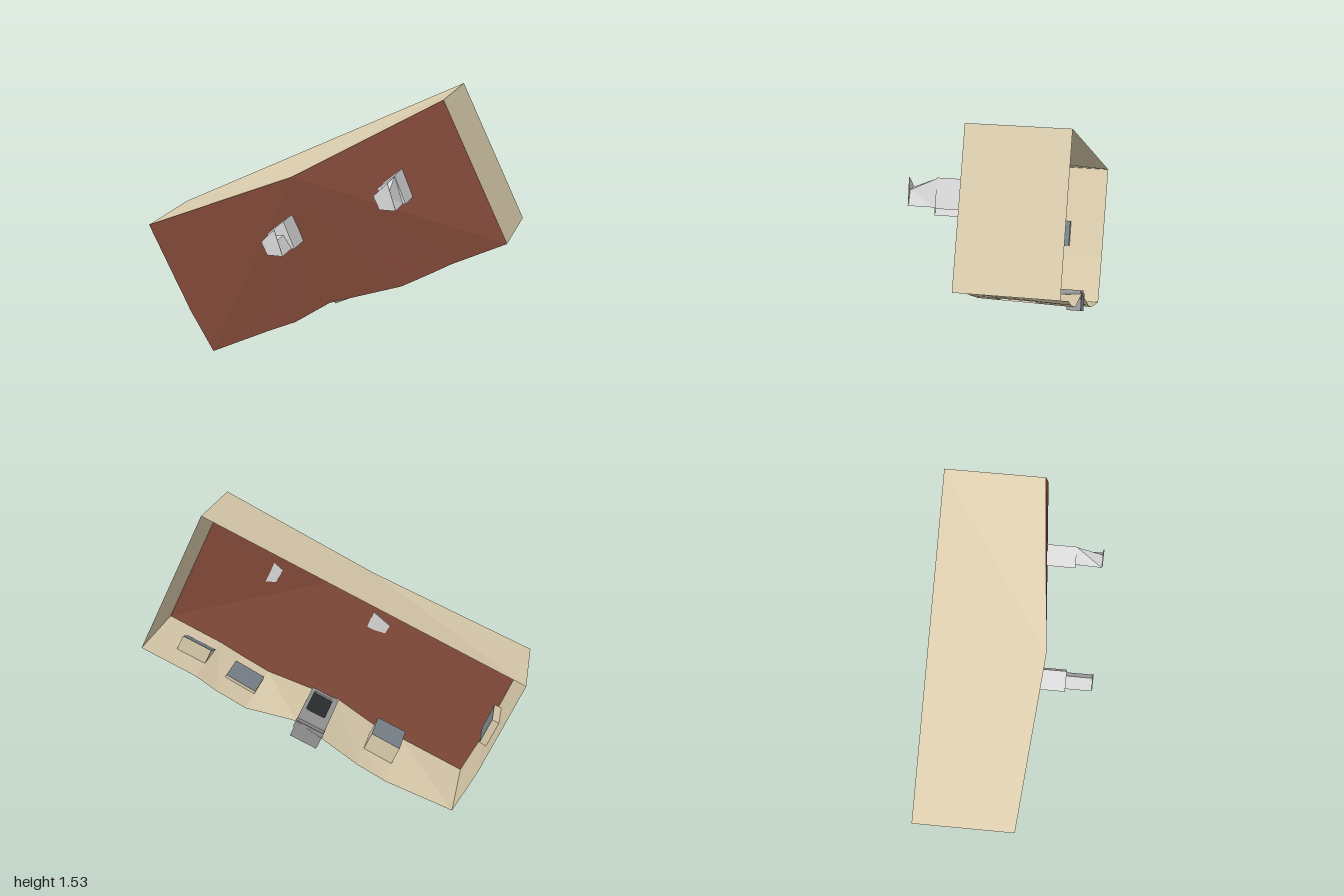
import * as THREE from 'three';

const mat = (name, color, double = true) => {
  const m = new THREE.MeshStandardMaterial({ color, flatShading: true });
  if (double) m.side = THREE.DoubleSide;
  m.name = name;
  return m;
};

export function createModel() {
  const beige = mat('wallBeige', 0xdccdad);
  const red = mat('roofRed', 0x844b3a);
  const glass = mat('glassGrey', 0x78838a);
  const grey = mat('doorGrey', 0x979797);
  const black = mat('panelBlack', 0x2a302e);
  const light = mat('ventGrey', 0xd8d8d8);

  const model = new THREE.Group();
  // Tilted frame: x along the long wall, y across, z towards the roof
  const shell = new THREE.Group();
  shell.name = 'shell';
  shell.position.set(-0.65, 0, 0);
  shell.rotation.z = 0.449;
  model.add(shell);

  const add = (parent, name, geometry, material) => {
    const m = new THREE.Mesh(geometry, material);
    m.name = name;
    parent.add(m);
    return m;
  };
  // Fan-triangulated faces, each a list of [x, y, z] corners
  const faces = (list) => {
    const pos = [];
    for (const f of list)
      for (let i = 1; i < f.length - 1; i++) pos.push(...f[0], ...f[i], ...f[i + 1]);
    const g = new THREE.BufferGeometry();
    g.setAttribute('position', new THREE.Float32BufferAttribute(pos, 3));
    g.computeVertexNormals();
    return g;
  };

  const L = 1.84, H = 0.81;
  const zLow = -0.235, zHigh = -0.03;

  // Wall made of strips between back and front points, with recessed windows.
  // windows: { strip index: [depth near back, depth near front] }
  function wall(name, rows, inward, windows) {
    const at = ([b, f], z) => {
      const t = (z - b[2]) / (f[2] - b[2]);
      return b.map((v, i) => v + (f[i] - v) * t);
    };
    const push = (p, d) => p.map((v, i) => v + inward[i] * d);
    const quads = [];
    for (let i = 0; i < rows.length - 1; i++) {
      const [r, s] = [rows[i], rows[i + 1]];
      if (!windows[i]) {
        quads.push([r[0], s[0], s[1], r[1]]);
        continue;
      }
      const c = [at(r, zLow), at(s, zLow), at(s, zHigh), at(r, zHigh)];
      quads.push([r[0], s[0], c[1], c[0]], [c[3], c[2], s[1], r[1]]);
      const [dBack, dFront] = windows[i];
      const inner = c.map((p, k) => push(p, k < 2 ? dBack : dFront));
      const reveal = c.map((p, k) => [p, c[(k + 1) % 4], inner[(k + 1) % 4], inner[k]]);
      add(shell, name + 'WindowReveal', faces(reveal), beige);
      add(shell, name + 'WindowGlass', faces([inner]), glass);
    }
    add(shell, name, faces(quads), beige);
  }

  // Long wavy wall: distance along, offset at back, offset at front
  const wavy = [
    [0, 0, 0], [0.38, -0.03, 0], [0.55, -0.02, -0.005], [0.79, 0.02, 0.03], [0.945, 0.04, 0.012],
    [1.21, -0.03, -0.02], [1.39, -0.02, -0.01], [1.52, 0, 0], [1.69, 0, 0], [L, 0, 0],
  ].map(([u, b, f]) => [[u, b, -0.435 + 0.017 * u / L], [u, f, 0.06 + 0.04 * u / L]]);
  wall('wavyWall', wavy, [0, 1, 0], { 1: [0.1, 0.1], 5: [0.015, 0.015], 7: [0.085, 0.005] });

  // End wall with one window
  const end = [[0, 0], [-0.013, 0.27], [-0.011, 0.33], [-0.008, 0.48], [0, H]]
    .map(([u, v]) => [[u, v, -0.435 - 0.005 * v / H], [u, v, 0.06 + 0.04 * v / H]]);
  wall('windowEndWall', end, [1, 0, 0], { 2: [0.04, 0.04] });

  // Plain end wall and the straight long wall, which rises to the roof peak
  const A = [[0, H, -0.44], [0, H, 0.1]];
  const B = [[L, H, -0.418], [L, H, 0.1]];
  const C = wavy[wavy.length - 1];
  const peak = [0.94, 0.755, 0.18];
  add(shell, 'plainEndWall', faces([[C[0], B[0], B[1], C[1]]]), beige);
  add(shell, 'straightWall', faces([
    [A[0], B[0], peak], [A[0], peak, A[1]], [B[0], B[1], peak],
  ]), beige);

  // Roof: a fan from the peak round its rim
  const rim = [B[1], C[1], ...wavy.slice(0, -1).reverse().map((r) => r[1]),
    ...end.slice(1).map((r) => r[1])].reverse();
  add(shell, 'roof', faces(rim.slice(0, -1).map((p, i) => [peak, rim[i + 1], p])), red);

  // Door slab with a bevelled opening, dark panel and step
  const polygon = (pts) => new THREE.Shape(pts.map(([x, y]) => new THREE.Vector2(x, y)));
  const slab = polygon([[0.785, 0], [0.945, 0], [0.945, 0.42], [0.785, 0.42]]);
  const hole = [[0.815, 0.15], [0.825, 0.14], [0.915, 0.14], [0.925, 0.15],
    [0.925, 0.38], [0.915, 0.39], [0.825, 0.39], [0.815, 0.38]];
  slab.holes.push(polygon(hole));
  const door = new THREE.Group();
  door.name = 'door';
  door.position.set(0, 0.06, -0.42);
  door.rotation.x = Math.PI / 2;
  shell.add(door);
  add(door, 'doorFrame', new THREE.ExtrudeGeometry(slab, { depth: 0.06, bevelEnabled: false }), grey);
  add(door, 'doorPanelInside', new THREE.ShapeGeometry(polygon(hole)), black).position.z = 0.01;
  add(door, 'doorPanelOutside', new THREE.ShapeGeometry(polygon(hole)), black).position.z = 0.05;
  add(shell, 'doorStep', new THREE.BoxGeometry(0.155, 0.095, 0.075), grey).position.set(0.86, -0.003, -0.388);

  // Roof vents: base block, hood and thin front plate
  const base = [[-0.08, 0.07], [-0.04, 0], [0.07, 0], [0.01, 0.145]];
  const small = [[-0.06, 0.06], [-0.03, 0], [0.055, 0], [0.01, 0.07]];
  const tall = [[-0.06, 0.07], [-0.03, 0], [0.055, 0], [0.01, 0.14]];
  const loft = (a, za, b, zb) => {
    const p = a.map(([x, y]) => [x, y, za]), q = b.map(([x, y]) => [x, y, zb]);
    const sides = p.map((c, i) => {
      const j = (i + 1) % p.length;
      return [c, p[j], q[j], q[i]];
    });
    return faces([...sides, q, [...p].reverse()]);
  };
  for (const [name, x, y, z, hoodStart] of [
    ['lowerVent', -0.15, 0.73, 0.005, small], ['upperVent', 0.445, 1.02, 0, tall],
  ]) {
    const vent = new THREE.Group();
    vent.name = name;
    vent.position.set(x, y, z);
    model.add(vent);
    add(vent, 'ventBase', loft(base, 0.135, base, 0.29), light);
    add(vent, 'ventHood', loft(hoodStart, 0.29, small, 0.43), light);
    add(vent, 'ventPlate', loft(tall, 0.43, tall, 0.434), light);
  }
  return model;
}
